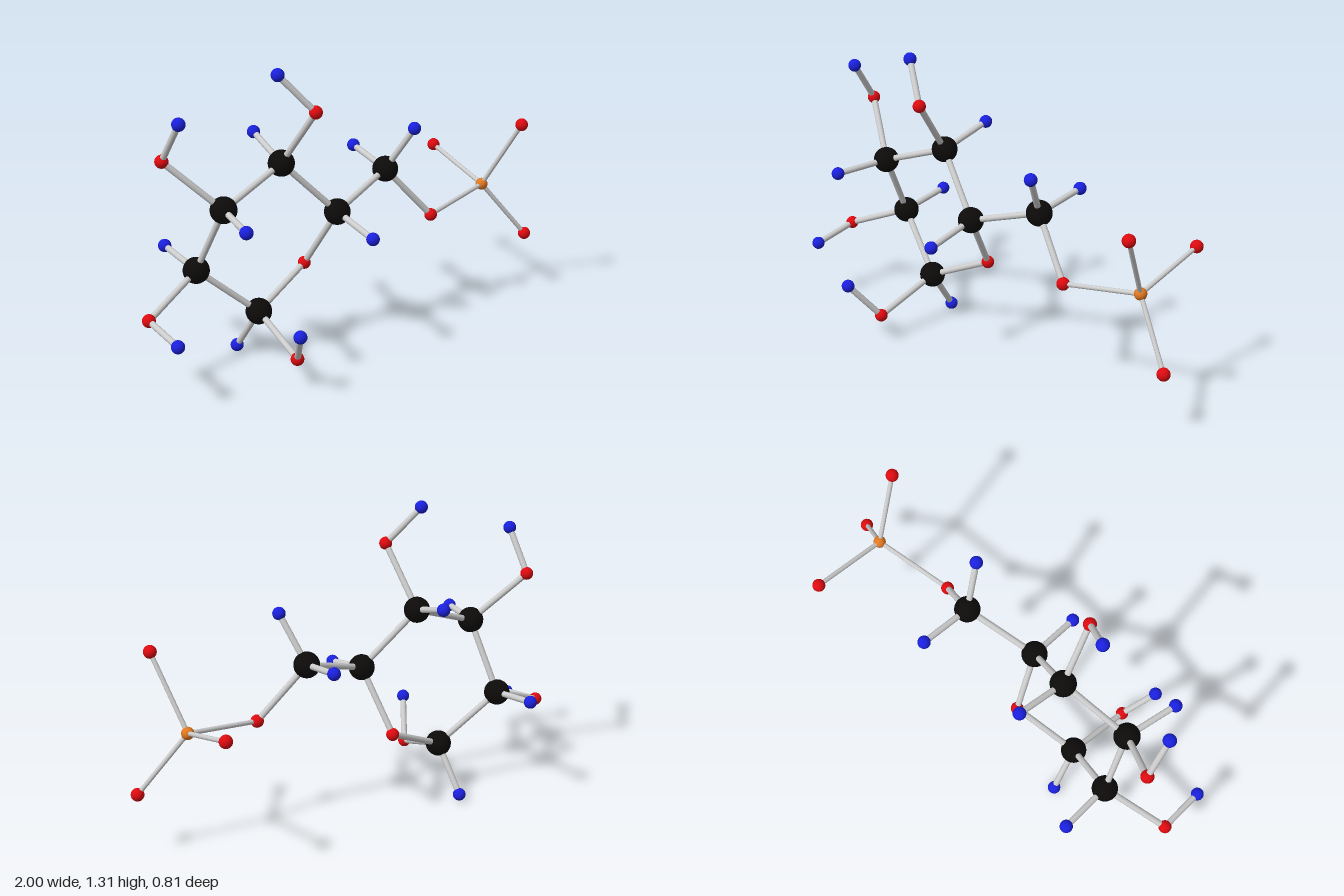
import * as THREE from 'three';

// Atom kinds: name, colour, radius
const KINDS = {
  C: ['carbonAtom', 0x0d0b0a, 0.056],
  O: ['oxygenAtom', 0xdd0a0f, 0.028],
  H: ['hydrogenAtom', 0x1a20dd, 0.028],
  P: ['phosphorusAtom', 0xe07820, 0.027],
};

// Atom positions; the first letter gives the kind
const ATOMS = {
  // ring
  C1: [-0.65, 0.75, 0.02], C2: [-0.33, 0.87, -0.027], C3: [-0.1, 0.628, 0.05],
  O1: [-0.155, 0.36, -0.113], C5: [-0.44, 0.23, -0.05], C6: [-0.69, 0.45, -0.135],
  // side chain and phosphate
  C4: [0.22, 0.73, -0.028], O2: [0.42, 0.495, 0.045], P1: [0.775, 0.544, -0.018],
  O3: [0.845, 0.854, 0.157], O4: [0.785, 0.64, -0.368], O5: [0.97, 0.285, 0.067],
  // hydroxyl groups
  O6: [-0.855, 0.964, -0.105], H6: [-0.845, 1.145, 0.015],
  O7: [-0.29, 1.125, 0.16], H7: [-0.42, 1.285, 0.083],
  O8: [-0.973, 0.328, -0.053], H8: [-0.973, 0.291, 0.161],
  O9: [-0.461, 0.126, 0.252], H9: [-0.535, 0.288, 0.376],
  // single hydrogens
  H1: [-0.705, 0.738, 0.26], H2: [-0.305, 0.942, -0.26], H3: [-0.1, 0.577, 0.291],
  H4: [0.28, 0.931, 0.094], H5: [0.235, 0.773, -0.27],
  H10: [-0.46, 0.03, -0.19], H11: [-0.69, 0.485, -0.376],
};

// Bonded pairs: ring and chain, hydroxyl groups, single hydrogens
const BONDS = [
  'C1-C2', 'C2-C3', 'C3-O1', 'O1-C5', 'C5-C6', 'C6-C1',
  'C3-C4', 'C4-O2', 'O2-P1', 'P1-O3', 'P1-O4', 'P1-O5',
  'C1-O6', 'O6-H6', 'C2-O7', 'O7-H7', 'C6-O8', 'O8-H8', 'C5-O9', 'O9-H9',
  'C1-H1', 'C2-H2', 'C3-H3', 'C4-H4', 'C4-H5', 'C5-H10', 'C6-H11',
];

const UP = new THREE.Vector3(0, 1, 0);

// Rod between two points
function makeBond(a, b, radius, material) {
  const dir = b.clone().sub(a);
  const bond = new THREE.Mesh(new THREE.CylinderGeometry(radius, radius, dir.length(), 20), material);
  bond.position.copy(a).add(b).multiplyScalar(0.5);
  bond.quaternion.setFromUnitVectors(UP, dir.normalize());
  bond.name = 'bond';
  return bond;
}

export function createModel() {
  const model = new THREE.Group();
  model.name = 'molecule';
  const atoms = new THREE.Group();
  atoms.name = 'atoms';
  const bonds = new THREE.Group();
  bonds.name = 'bonds';
  model.add(atoms, bonds);

  // One shared sphere and material per kind
  const parts = {};
  for (const [kind, [name, color, radius]] of Object.entries(KINDS)) {
    parts[kind] = {
      name,
      geometry: new THREE.SphereGeometry(radius, 32, 20),
      material: new THREE.MeshStandardMaterial({ color }),
    };
  }

  for (const [id, position] of Object.entries(ATOMS)) {
    const { name, geometry, material } = parts[id[0]];
    const atom = new THREE.Mesh(geometry, material);
    atom.position.set(...position);
    atom.name = name;
    atoms.add(atom);
  }

  // Phosphate bonds are thinner than the rest
  const grey = new THREE.MeshStandardMaterial({ color: 0xcccccc });
  for (const pair of BONDS) {
    const [a, b] = pair.split('-').map((id) => new THREE.Vector3(...ATOMS[id]));
    bonds.add(makeBond(a, b, pair.includes('P') ? 0.01 : 0.0135, grey));
  }
  return model;
}
